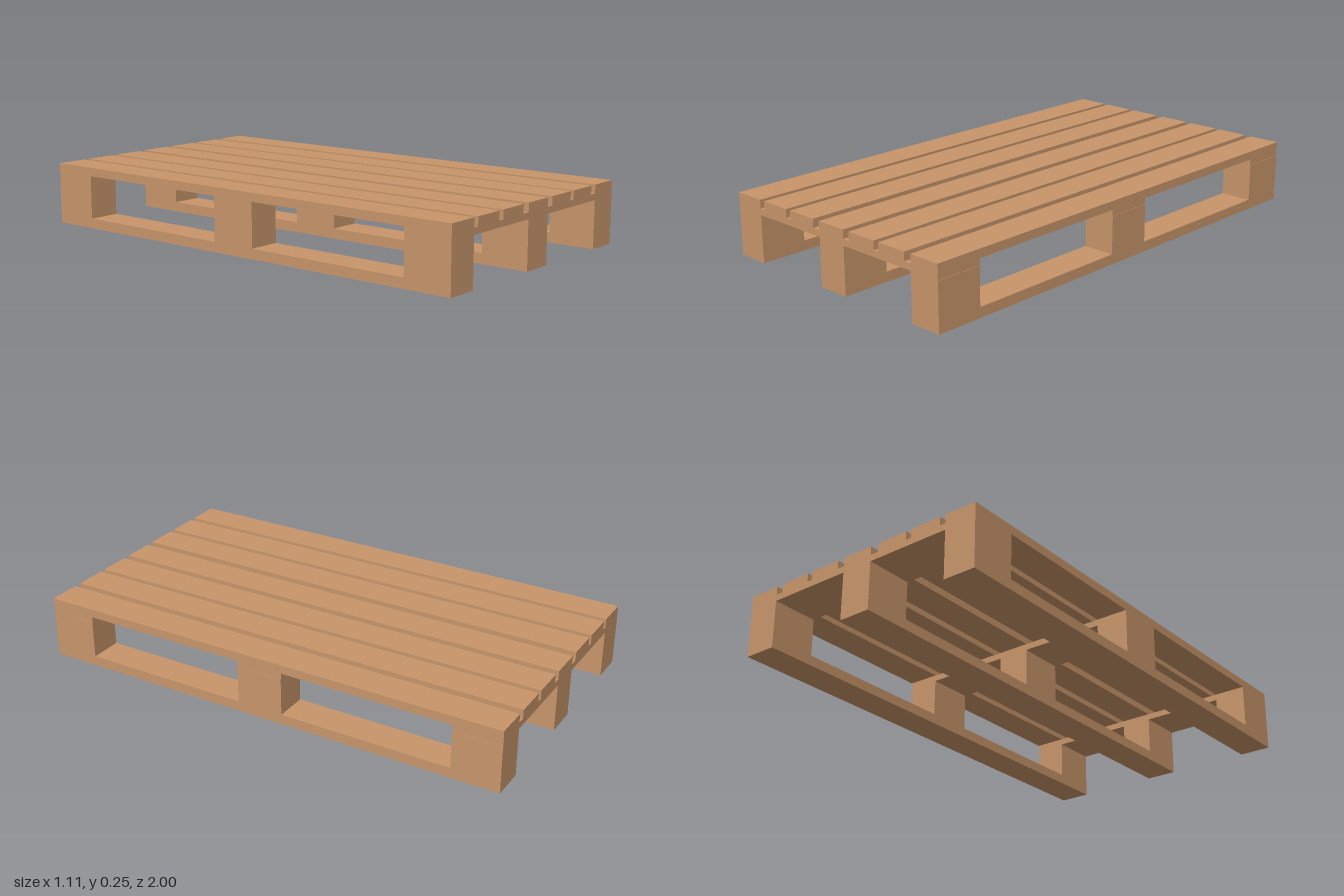
import * as THREE from 'three';

export function createModel() {
  const group = new THREE.Group();
  const wood = new THREE.MeshStandardMaterial({ color: 0xc8956a });
  wood.name = 'wood';

  // Box spanning a height range, centred on x and z
  function plank(name, width, y0, y1, depth, x, z) {
    const mesh = new THREE.Mesh(new THREE.BoxGeometry(width, y1 - y0, depth), wood);
    mesh.name = name;
    mesh.position.set(x, (y0 + y1) / 2, z);
    group.add(mesh);
  }

  const boardWidth = 0.134;
  const blockDepth = 0.195;
  const rowZ = [-0.9025, 0.0025, 0.9025];
  const columnX = [-0.486, -0.001, 0.486];

  // Long deck boards with slightly uneven gaps
  for (const x of [-0.486, -0.328, -0.17, -0.001, 0.164, 0.321, 0.486]) {
    plank('deckBoard', boardWidth, 0.22, 0.255, 2, x, 0);
  }

  // Cross boards carrying the deck
  for (const z of rowZ) plank('crossBoard', 1.104, 0.194, 0.22, blockDepth, -0.001, z);

  // Bottom runners with three spacer blocks each
  for (const x of columnX) {
    plank('runner', boardWidth, 0, 0.041, 2, x, 0);
    for (const z of rowZ) plank('block', boardWidth, 0.041, 0.194, blockDepth, x, z);
  }

  return group;
}
